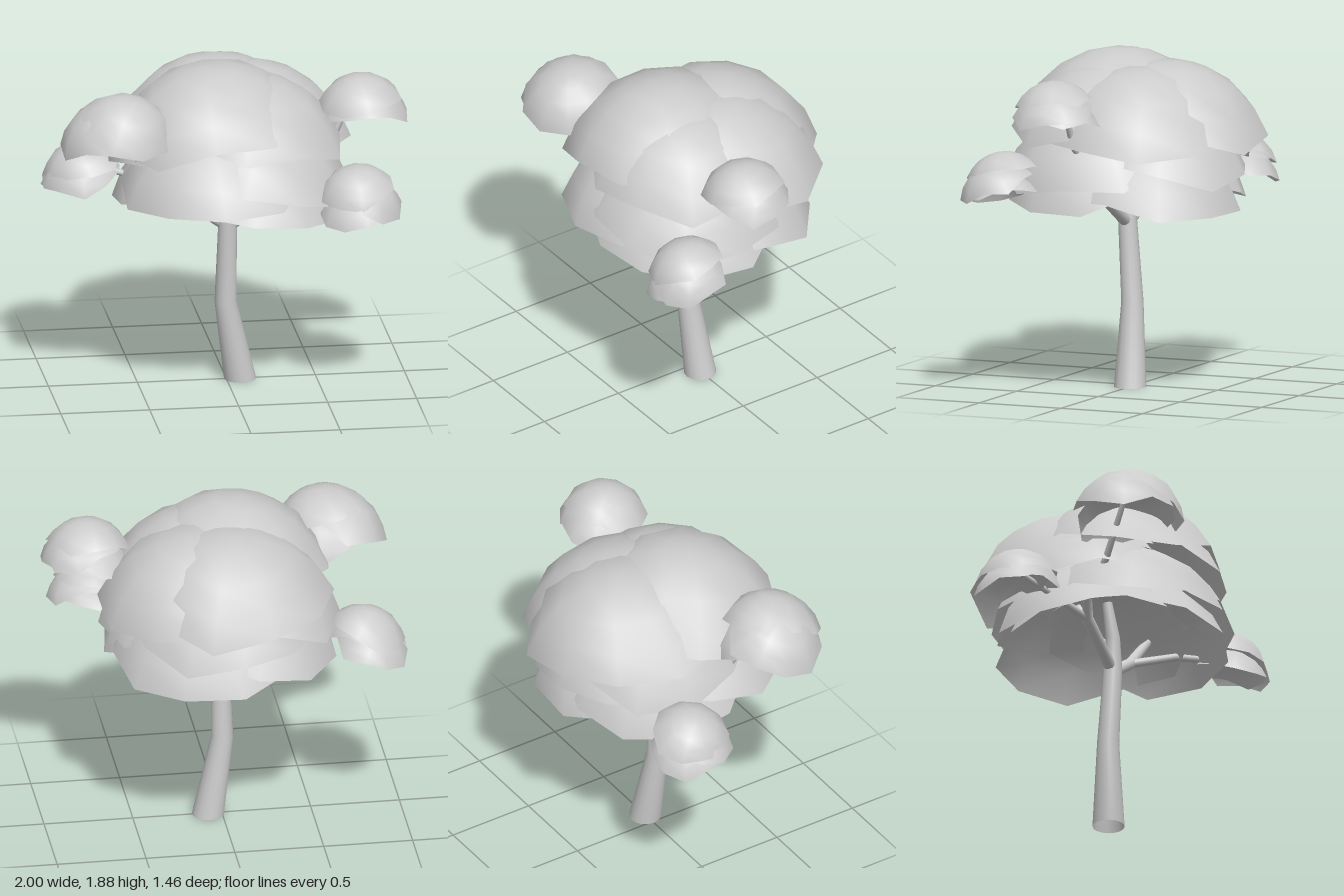
import * as THREE from 'three';

const material = new THREE.MeshStandardMaterial({ color: 0xcccccc, side: THREE.DoubleSide });
const UP = new THREE.Vector3(0, 1, 0);

// small seeded generator, returns -1..1
function seeded(seed) {
  let s = seed * 7919 + 17;
  return () => {
    s = (s * 16807) % 2147483647;
    return (s / 2147483647) * 2 - 1;
  };
}

function meshFrom(name, pos, index) {
  const g = new THREE.BufferGeometry();
  g.setAttribute('position', new THREE.Float32BufferAttribute(pos, 3));
  g.setIndex(index);
  g.computeVertexNormals();
  const mesh = new THREE.Mesh(g, material);
  mesh.name = name;
  return mesh;
}

// tapered limb: one ring per [x, y, z, radius] point, joined by quads
function limb(name, points, sides = 12) {
  const p = points.map(([x, y, z]) => new THREE.Vector3(x, y, z));
  const pos = [], index = [];
  p.forEach((c, i) => {
    const dir = p[Math.min(i + 1, p.length - 1)].clone().sub(p[Math.max(i - 1, 0)]).normalize();
    if (c.y === 0) dir.copy(UP); // flat foot on the ground
    const q = new THREE.Quaternion().setFromUnitVectors(UP, dir);
    for (let j = 0; j < sides; j++) {
      const a = (j / sides) * Math.PI * 2, r = points[i][3];
      const v = new THREE.Vector3(Math.sin(a) * r, 0, Math.cos(a) * r).applyQuaternion(q).add(c);
      pos.push(v.x, v.y, v.z);
      if (i < p.length - 1) {
        const k = i * sides + j, n = i * sides + ((j + 1) % sides);
        index.push(k, n, k + sides, n, n + sides, k + sides);
      }
    }
  });
  return meshFrom(name, pos, index);
}

// open leaf shell: a ragged cap of a sphere, its pole leaning towards (leanX, leanZ)
function shell(name, [x, y, z, radius], [leanX, leanZ], seed, rag = 0.08, sides = 10) {
  const rnd = seeded(seed), rows = 4;
  const pos = [0, radius, 0], index = [];
  const turn = rnd() * Math.PI;
  const reach = Array.from({ length: sides }, () => 1.13 + rag * rnd());
  for (let i = 1; i <= rows; i++) {
    for (let j = 0; j < sides; j++) {
      const a = (j / sides) * Math.PI * 2 + turn;
      const t = (i / rows) * reach[j];
      pos.push(Math.sin(a) * Math.sin(t) * radius, Math.cos(t) * radius, Math.cos(a) * Math.sin(t) * radius);
      const b = 1 + (i - 1) * sides, n = (j + 1) % sides;
      if (i === 1) index.push(0, b + j, b + n);
      else index.push(b - sides + j, b + j, b + n, b - sides + j, b + n, b - sides + n);
    }
  }
  const mesh = meshFrom(name, pos, index);
  mesh.position.set(x, y, z);
  mesh.quaternion.setFromUnitVectors(UP, new THREE.Vector3(leanX, 1, leanZ).normalize());
  return mesh;
}

export function createModel() {
  const tree = new THREE.Group();
  tree.name = 'tree';

  // bent trunk, open at the foot
  tree.add(limb('trunk', [
    [0.077, 0, 0, 0.09], [-0.008, 0.47, 0.025, 0.062], [0, 0.92, 0.05, 0.053],
    [-0.03, 1.1, 0.06, 0.04], [-0.07, 1.3, 0.04, 0.028],
  ], 16));

  // forked branches, then thinner twigs reaching each outer cluster
  tree.add(
    limb('leftBranch', [[0, 0.91, 0.05, 0.035], [0.28, 1.08, 0.06, 0.032], [0.45, 1.27, 0.1, 0.026]]),
    limb('leftUpperTwig', [[0.43, 1.25, 0.1, 0.022], [0.58, 1.42, 0.12, 0.02], [0.7, 1.7, 0.13, 0.014]]),
    limb('leftLowerTwig', [[0.28, 1.08, 0.06, 0.024], [0.42, 1.15, 0.28, 0.022], [0.66, 1.2, 0.5, 0.014]]),
    limb('rightBranch', [[0, 0.91, 0.05, 0.035], [-0.3, 1.11, 0, 0.032], [-0.4, 1.2, 0.03, 0.026]]),
    limb('rightLowerTwig', [[-0.3, 1.11, 0, 0.024], [-0.5, 1.17, -0.12, 0.02], [-0.78, 1.22, -0.25, 0.014]]),
    limb('rightUpperTwig', [[-0.39, 1.19, 0.03, 0.022], [-0.52, 1.36, 0.18, 0.02], [-0.65, 1.68, 0.34, 0.014]]),
    limb('backBranch', [[-0.02, 1.02, 0.05, 0.028], [0, 1.15, -0.06, 0.024], [0.02, 1.35, -0.16, 0.016]]),
  );

  // main canopy: overlapping shells, each leaning outwards; sphere centre and radius, then lean
  const canopy = new THREE.Group();
  canopy.name = 'canopy';
  [
    // upper layer
    [[-0.06, 1.28, 0.12, 0.61], [-0.14, 0.08]],
    [[-0.03, 1.22, -0.16, 0.62], [0, -0.16]],
    [[0.12, 1.2, -0.08, 0.62], [0.16, -0.14]],
    [[0.09, 1.245, 0.13, 0.58], [0.1, 0.08]],
    [[-0.09, 1.14, -0.08, 0.58], [-0.2, -0.06]],
    // lower layer
    [[-0.05, 0.98, 0.15, 0.6], [-0.15, 0.16]],
    [[0.1, 1.0, 0.14, 0.6], [0.2, 0.1]],
    [[0.02, 1.03, -0.1, 0.58], [0, -0.18]],
    [[0.09, 0.88, 0.12, 0.59], [0.16, 0.16]],
    [[0.08, 0.88, -0.06, 0.59], [0.14, -0.2]],
    [[-0.08, 0.93, -0.04, 0.57], [-0.16, -0.14]],
  ].forEach(([sphere, lean], i) => canopy.add(shell('canopyShell', sphere, lean, i + 3)));
  tree.add(canopy);

  // outer clusters: three small shells each
  const clusters = {
    rightUpperCluster: [
      [[-0.64, 1.49, 0.35, 0.31], [0.22, 0.3]],
      [[-0.67, 1.46, 0.33, 0.31], [-0.36, 0.1]],
      [[-0.64, 1.42, 0.34, 0.3], [0.1, -0.15]],
    ],
    rightLowerCluster: [
      [[-0.75, 1.1, -0.26, 0.25], [-0.35, 0.05]],
      [[-0.77, 1.06, -0.25, 0.245], [-0.1, 0.28]],
      [[-0.78, 1.02, -0.27, 0.235], [-0.2, -0.2]],
    ],
    leftUpperCluster: [
      [[0.74, 1.54, 0.15, 0.26], [-0.08, 0.14]],
      [[0.75, 1.5, 0.15, 0.26], [0.25, 0]],
      [[0.74, 1.46, 0.14, 0.255], [-0.05, -0.05]],
    ],
    leftLowerCluster: [
      [[0.68, 1.135, 0.48, 0.24], [-0.1, 0.25]],
      [[0.69, 1.09, 0.5, 0.235], [0.25, 0.2]],
      [[0.68, 1.02, 0.5, 0.235], [-0.1, 0.2]],
    ],
  };
  Object.entries(clusters).forEach(([name, shells], n) => {
    const cluster = new THREE.Group();
    cluster.name = name;
    shells.forEach(([sphere, lean], i) => cluster.add(shell('clusterShell', sphere, lean, 20 + n * 3 + i, 0.14)));
    tree.add(cluster);
  });
  return tree;
}
